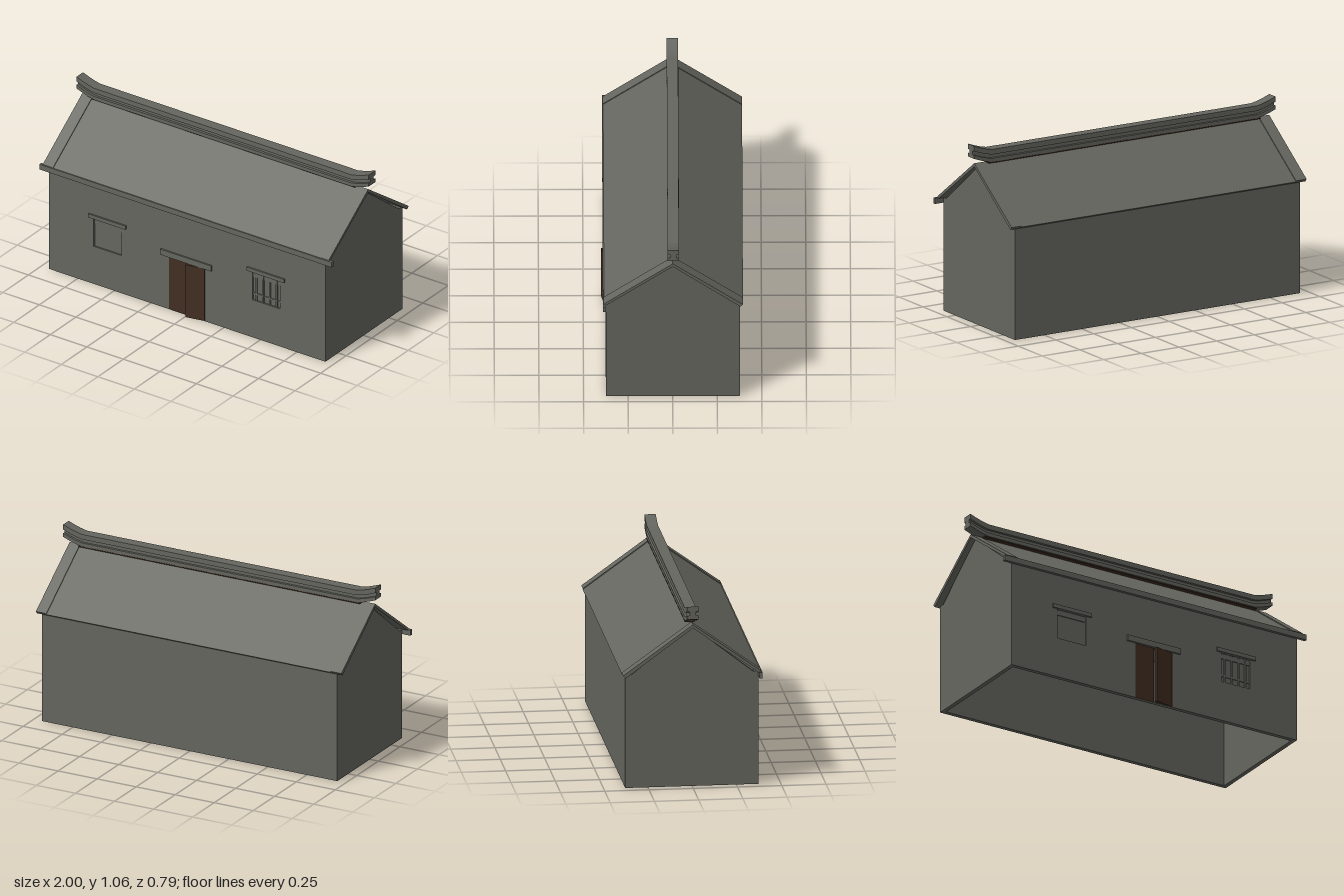
import * as THREE from 'three';

const stone = new THREE.MeshStandardMaterial({ color: 0x666660, side: THREE.DoubleSide });
stone.name = 'grey stone';
const wood = new THREE.MeshStandardMaterial({ color: 0x432e22, side: THREE.DoubleSide });
wood.name = 'dark wood';

function add(parent, name, geometry, material = stone) {
  const mesh = new THREE.Mesh(geometry, material);
  mesh.name = name;
  parent.add(mesh);
  return mesh;
}

// Box given by its limits on each axis
function block(parent, name, [x0, x1], [y0, y1], [z0, z1], material) {
  const g = new THREE.BoxGeometry(x1 - x0, y1 - y0, z1 - z0);
  g.translate((x0 + x1) / 2, (y0 + y1) / 2, (z0 + z1) / 2);
  return add(parent, name, g, material);
}

const shapeOf = (points) => new THREE.Shape(points.map(([a, b]) => new THREE.Vector2(a, b)));

// Profile of [z, y] points extruded along x from x0 to x1
function extrudeX(points, x0, x1, steps = 1) {
  const g = new THREE.ExtrudeGeometry(shapeOf(points), { depth: x1 - x0, steps, bevelEnabled: false });
  g.rotateY(-Math.PI / 2);
  g.translate(x1, 0, 0);
  return g;
}

const rect = (x0, x1, y0, y1) => [[x0, y0], [x1, y0], [x1, y1], [x0, y1]];

export function createModel() {
  const house = new THREE.Group();
  house.name = 'house';

  // Front wall with door and window openings
  const front = shapeOf(rect(-0.945, 0.945, 0, 0.655));
  const windows = [[-0.64, -0.45], [0.445, 0.635]];
  front.holes.push(shapeOf(rect(-0.125, 0.12, 0.001, 0.337)));
  for (const [a, b] of windows) front.holes.push(shapeOf(rect(a, b, 0.24, 0.42)));
  const frontGeometry = new THREE.ExtrudeGeometry(front, { depth: 0.025, bevelEnabled: false });
  frontGeometry.translate(0, 0, 0.35);
  add(house, 'frontWall', frontGeometry);

  block(house, 'backWall', [-0.945, 0.945], [0, 0.655], [-0.378, -0.353]);

  // Gable walls
  const gable = [[0.374, 0], [0.374, 0.655], [0.345, 0.655], [0, 0.925],
    [-0.345, 0.655], [-0.377, 0.655], [-0.377, 0]];
  add(house, 'rightGable', extrudeX(gable, -0.9455, -0.92));
  add(house, 'leftGable', extrudeX(gable, 0.92, 0.9455));

  // Roof slab and raised verge strips
  const roof = (h) => [[0, 0.939 + h], [0.388, 0.658 + h], [0.374, 0.655], [0, 0.925],
    [-0.38, 0.645], [-0.394, 0.655 + h]];
  add(house, 'roof', extrudeX(roof(0), -0.92, 0.92));
  add(house, 'rightVerge', extrudeX(roof(0.006), -0.98, -0.91));
  add(house, 'leftVerge', extrudeX(roof(0.006), 0.91, 0.977));
  block(house, 'eaveBoard', [-1, 1], [0.627, 0.66], [0.373, 0.392]);

  // Ridge of I section, its ends swept upward
  const c = -0.003;
  const half = [[0.032, 0.946], [0.032, 0.968], [0.017, 0.968], [0.017, 0.99], [0.032, 0.99], [0.032, 1.02]];
  const section = [...half.map(([z, y]) => [c + z, y]), ...half.map(([z, y]) => [c - z, y]).reverse()];
  const ridge = extrudeX(section, -1, 1, 50);
  const p = ridge.attributes.position;
  for (let i = 0; i < p.count; i++) {
    const t = Math.max(0, (Math.abs(p.getX(i)) - 0.88) / 0.12);
    p.setY(i, p.getY(i) + 0.036 * Math.pow(t, 1.3));
  }
  ridge.computeVertexNormals();
  add(house, 'ridge', ridge);
  block(house, 'ridgeBeam', [-0.9, 0.9], [0.941, 0.947], [-0.036, 0.022], wood);

  // Windows: pane, lintel, frame bars
  windows.forEach(([a, b], i) => {
    const w = new THREE.Group();
    w.name = i ? 'leftWindow' : 'rightWindow';
    house.add(w);
    block(w, 'pane', [a, b], [0.24, 0.42], [0.351, 0.365]);
    block(w, 'lintel', [a - 0.033, b + 0.033], [0.42, 0.443], [0.37, 0.385]);
    block(w, 'topRail', [a, b], [0.385, 0.41], [0.36, 0.37]);
    if (i) {
      block(w, 'bottomRail', [a, b], [0.275, 0.285], [0.36, 0.37]);
      for (let k = 0; k < 4; k++) {
        const x = a + 0.02 + k * 0.046;
        block(w, 'bar', [x, x + 0.01], [0.24, 0.42], [0.36, 0.372]);
      }
    }
  });

  // Door: one leaf shut, one ajar
  block(house, 'doorLintel', [-0.18, 0.17], [0.337, 0.372], [0.37, 0.385]);
  block(house, 'shutLeaf', [-0.125, 0], [0.001, 0.335], [0.354, 0.374], wood);
  const leaf = block(house, 'ajarLeaf', [-0.117, 0], [0.001, 0.335], [-0.018, 0], wood);
  leaf.position.set(0.118, 0, 0.375);
  leaf.rotation.y = 0.21;

  return house;
}
